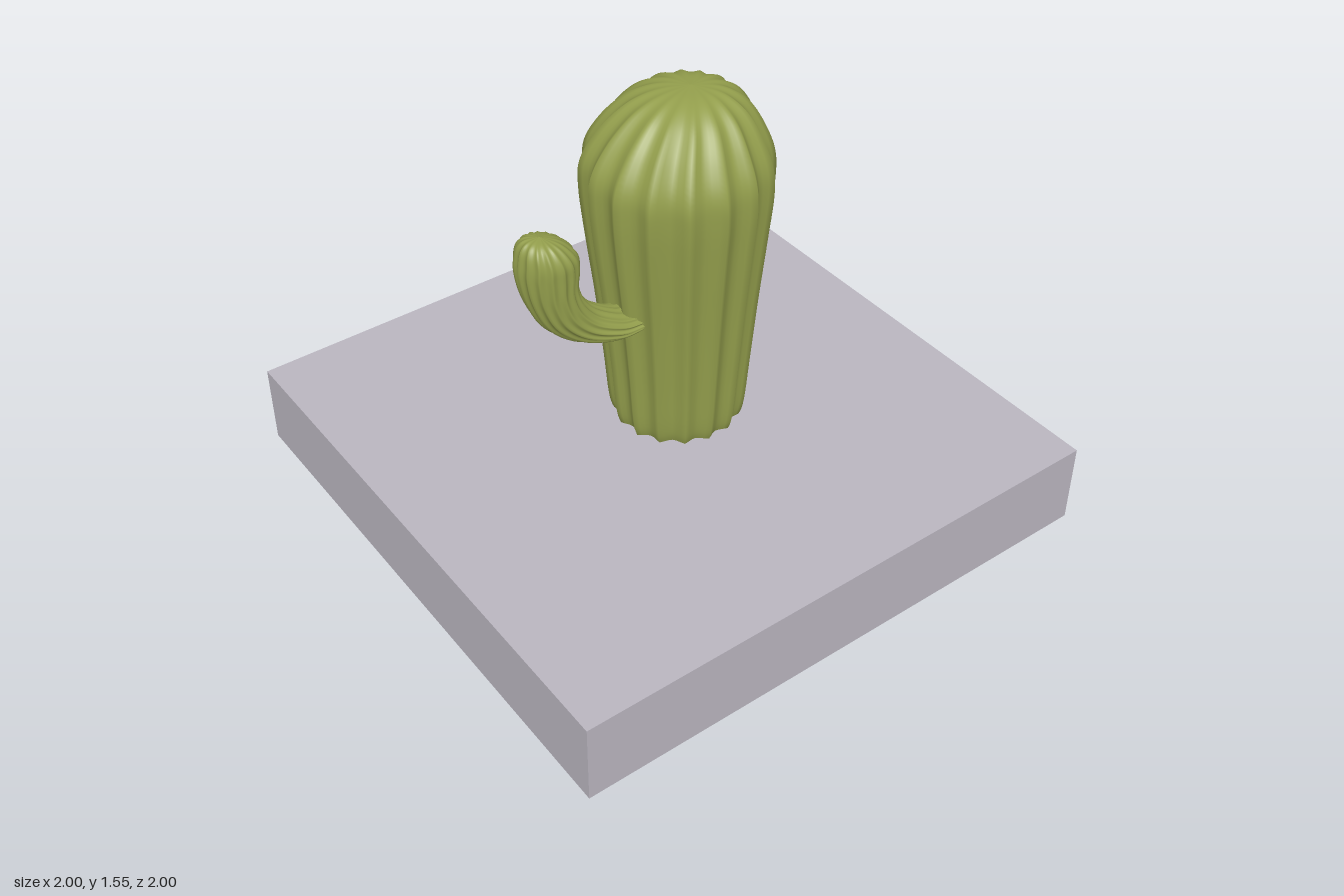
import * as THREE from 'three';

const RIBS = 16, PER_RIB = 6, AROUND = RIBS * PER_RIB;

// Ribbed body swept through rows of [x, y, z, radiusU, radiusZ, tilt]
function ribbedBody(rows, steps, depth, phase) {
  const centre = new THREE.CatmullRomCurve3(
    rows.map(r => new THREE.Vector3(r[0], r[1], r[2])), false, 'catmullrom', 0.5);
  const size = new THREE.CatmullRomCurve3(
    rows.map(r => new THREE.Vector3(r[3], r[4], r[5])), false, 'catmullrom', 0.5);
  const pos = [], index = [];
  for (let i = 0; i <= steps; i++) {
    const c = centre.getPoint(i / steps), s = size.getPoint(i / steps);
    for (let j = 0; j < AROUND; j++) {
      const a = (j / AROUND) * Math.PI * 2 + phase;
      // rounded grooves between narrow ridges
      const groove = Math.pow(Math.abs(Math.sin((j / PER_RIB) * Math.PI)), 1.2);
      const k = 1 - depth * groove;
      const u = s.x * k * Math.cos(a), v = s.y * k * Math.sin(a);
      pos.push(c.x + u * Math.cos(s.z), c.y + u * Math.sin(s.z), c.z + v);
      if (i < steps) {
        const n = (j + 1) % AROUND, p = i * AROUND, q = p + AROUND;
        index.push(p + j, q + j, q + n, p + j, q + n, p + n);
      }
    }
  }
  const geo = new THREE.BufferGeometry();
  geo.setAttribute('position', new THREE.Float32BufferAttribute(pos, 3));
  geo.setIndex(index);
  geo.computeVertexNormals();
  return geo;
}

export function createModel() {
  const group = new THREE.Group();
  const green = new THREE.MeshStandardMaterial({ color: 0x939e4c });
  const stone = new THREE.MeshStandardMaterial({ color: 0xbab6c0 });
  const add = (name, geo, mat) => {
    const mesh = new THREE.Mesh(geo, mat);
    mesh.name = name;
    group.add(mesh);
    return mesh;
  };

  // Square slab
  add('base', new THREE.BoxGeometry(2, 0.3, 2), stone).position.y = 0.15;

  // Trunk: [centre x, y, radius], widening upward to a domed, slightly leaning top
  const trunk = [
    [0.07, 0.25, 0.19], [0.07, 0.3, 0.22], [0.07, 0.37, 0.237], [0.07, 0.55, 0.252],
    [0.068, 0.8, 0.274], [0.065, 1.05, 0.3], [0.065, 1.22, 0.315], [0.065, 1.32, 0.308],
    [0.075, 1.41, 0.265], [0.09, 1.48, 0.21], [0.1, 1.52, 0.155], [0.11, 1.542, 0.09],
    [0.115, 1.55, 0],
  ].map(([x, y, r]) => [x, y, 0, r, r, 0]);
  add('trunk', ribbedBody(trunk, 60, 0.1, 0.13), green);

  // Arm: flattened where it leaves the trunk, curving up to a round tip
  const arm = [
    [-0.08, 0.8, 0.04, 0.03, 0.075, 1.55], [-0.15, 0.806, 0.04, 0.035, 0.08, 1.5],
    [-0.23, 0.815, 0.04, 0.05, 0.083, 1.35], [-0.33, 0.857, 0.025, 0.066, 0.088, 1.0],
    [-0.4, 0.927, 0.015, 0.08, 0.092, 0.6], [-0.432, 1.01, 0.005, 0.09, 0.098, 0.2],
    [-0.436, 1.09, 0, 0.104, 0.104, 0], [-0.438, 1.14, 0, 0.1, 0.102, -0.1],
    [-0.445, 1.178, 0, 0.083, 0.083, -0.15], [-0.452, 1.204, 0, 0.052, 0.052, -0.15],
    [-0.456, 1.217, 0, 0, 0, -0.15],
  ];
  add('arm', ribbedBody(arm, 50, 0.1, 0), green);

  return group;
}
